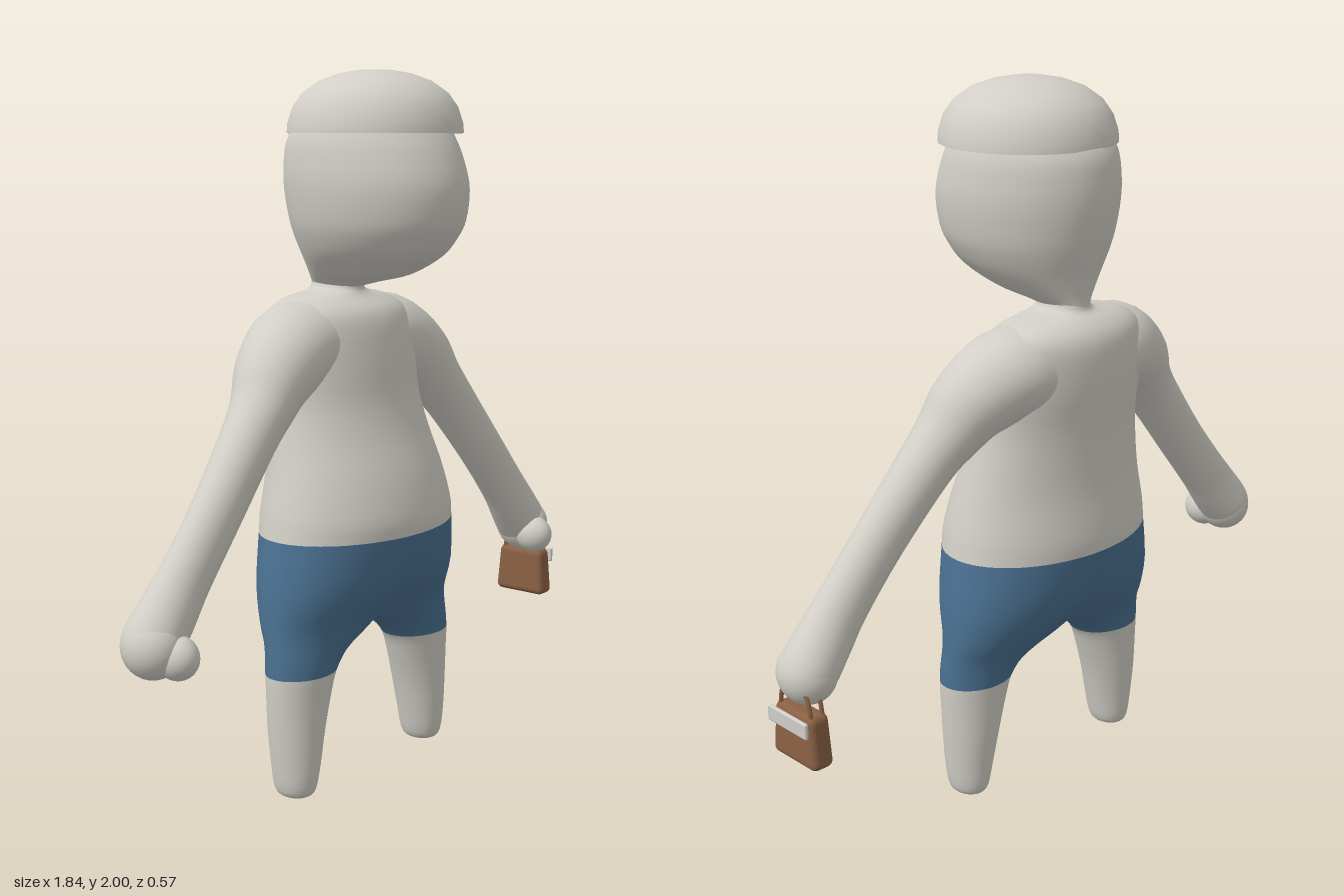
import * as THREE from 'three';
import { RoundedBoxGeometry } from 'three/addons/geometries/RoundedBoxGeometry.js';

const paint = (name, color) => {
  const m = new THREE.MeshStandardMaterial({ color });
  m.name = name;
  return m;
};

// Smooth rows between the key cross-sections (every key row is kept)
function refine(keys, steps) {
  const rows = [];
  const at = i => keys[Math.max(0, Math.min(keys.length - 1, i))];
  for (let i = 0; i < keys.length - 1; i++) {
    for (let s = 0; s < steps; s++) {
      const t = s / steps;
      rows.push(keys[i].map((b, k) => {
        const a = at(i - 1)[k], c = at(i + 1)[k], d = at(i + 2)[k];
        return b + 0.5 * t * (c - a + t * (2 * a - 5 * b + 4 * c - d + t * (3 * (b - c) + d - a)));
      }));
    }
  }
  rows.push(keys[keys.length - 1]);
  return rows;
}

// Skin closed rings of points; half = keep x >= 0 and leave the middle plane open.
// materialOf(row) gives a material index for each band.
function skin(rings, half = false, materialOf = null) {
  const n = rings[0].length, pos = [], index = [];
  const geo = new THREE.BufferGeometry();
  rings.forEach(r => r.forEach(p => pos.push(half ? Math.max(0, p[0]) : p[0], p[1], p[2])));
  const addTri = (...t) => {
    if (!half || t.some(v => pos[v * 3] > 1e-6)) index.push(...t);
  };
  for (let i = 0; i < rings.length - 1; i++) {
    const start = index.length;
    for (let j = 0; j < n; j++) {
      const a = i * n + j, b = i * n + (j + 1) % n;
      addTri(a, a + n, b);
      addTri(b, a + n, b + n);
    }
    if (materialOf) geo.addGroup(start, index.length - start, materialOf(i));
  }
  geo.setAttribute('position', new THREE.Float32BufferAttribute(pos, 3));
  geo.setIndex(index);
  geo.computeVertexNormals();
  if (half) {
    // Normals on the middle plane have no sideways part
    const nor = geo.attributes.normal;
    for (let i = 0; i < nor.count; i++) if (pos[i * 3] < 1e-6) nor.setX(i, 0);
    geo.normalizeNormals();
  }
  return geo;
}

function mirrored(geo) {
  const g = geo.clone().scale(-1, 1, 1), ix = g.index;
  for (let i = 0; i < ix.count; i += 3) {
    const b = ix.getX(i + 1);
    ix.setX(i + 1, ix.getX(i + 2));
    ix.setX(i + 2, b);
  }
  return g;
}

const angles = n => Array.from({ length: n }, (_, j) => (j / n) * Math.PI * 2);

// Level ring from [height, centre x, half width, front z, back z]
const levelRing = n => ([y, cx, rx, zf, zb]) => angles(n).map(a =>
  [cx + rx * Math.cos(a), y, (zf + zb) / 2 + (zf - zb) / 2 * Math.sin(a)]);

// Half of the body: one leg, hips, torso and neck
const BODY = [
  [0, 0.295, 0.001, -0.03, -0.04], [0.008, 0.295, 0.035, 0.005, -0.08],
  [0.03, 0.295, 0.053, 0.025, -0.1], [0.1, 0.292, 0.066, 0.035, -0.11],
  [0.2, 0.285, 0.082, 0.04, -0.12], [0.3, 0.273, 0.1, 0.045, -0.125],
  [0.36, 0.262, 0.113, 0.05, -0.13], [0.41, 0.235, 0.138, 0.055, -0.14],
  [0.45, 0.19, 0.18, 0.065, -0.16], [0.5, 0.14, 0.228, 0.085, -0.195],
  [0.6, 0.06, 0.3, 0.145, -0.25], [0.735, 0, 0.335, 0.18, -0.28],
  [0.8, 0, 0.325, 0.178, -0.28], [0.9, 0, 0.302, 0.15, -0.268],
  [1.0, 0, 0.28, 0.11, -0.265], [1.1, 0, 0.265, 0.08, -0.268],
  [1.2, 0, 0.265, 0.065, -0.28], [1.3, 0, 0.26, 0.045, -0.28],
  [1.35, 0, 0.24, 0.02, -0.265], [1.38, 0, 0.18, -0.02, -0.235],
  [1.395, 0, 0.1, -0.035, -0.21], [1.41, 0, 0.065, -0.04, -0.2],
  [1.45, 0, 0.06, -0.04, -0.195],
];
const HEM = 6, WAIST = 11;

const HEAD = [
  [1.41, 0, 0.055, -0.04, -0.2], [1.425, 0, 0.075, 0.02, -0.2], [1.45, 0, 0.112, 0.125, -0.202],
  [1.5, 0, 0.165, 0.215, -0.21], [1.55, 0, 0.197, 0.257, -0.225], [1.6, 0, 0.216, 0.28, -0.238],
  [1.68, 0, 0.229, 0.287, -0.25], [1.75, 0, 0.228, 0.27, -0.25], [1.82, 0, 0.216, 0.238, -0.235],
  [1.88, 0, 0.18, 0.19, -0.18], [1.92, 0, 0.08, 0.09, -0.08],
];

// Arm path: [x, y, z, radius in the front plane, radius in depth]
const ARM = [
  [0.08, 1.25, -0.115, 0.12, 0.13], [0.2, 1.25, -0.113, 0.125, 0.135],
  [0.31, 1.19, -0.09, 0.11, 0.115], [0.38, 1.115, -0.07, 0.088, 0.092],
  [0.45, 1.04, -0.055, 0.078, 0.076], [0.6, 0.865, -0.037, 0.075, 0.064],
  [0.72, 0.725, -0.032, 0.076, 0.064], [0.79, 0.64, -0.032, 0.08, 0.074],
  [0.84, 0.58, -0.034, 0.078, 0.08], [0.872, 0.54, -0.034, 0.055, 0.06],
  [0.885, 0.525, -0.034, 0.001, 0.001],
];

function armGeometry() {
  const rows = refine(ARM, 4);
  return skin(rows.map(([x, y, z, r, rz], i) => {
    const p = rows[Math.max(0, i - 1)], q = rows[Math.min(rows.length - 1, i + 1)];
    const len = Math.hypot(q[0] - p[0], q[1] - p[1]);
    const nx = -(q[1] - p[1]) / len, ny = (q[0] - p[0]) / len;
    return angles(32).map(a =>
      [x + nx * r * Math.cos(a), y + ny * r * Math.cos(a), z - rz * Math.sin(a)]);
  }));
}

const ball = (x, y, z, rx, ry, rz) =>
  new THREE.SphereGeometry(1, 32, 20).scale(rx, ry, rz).translate(x, y, z);

export function createModel() {
  const skinMat = paint('pale grey', 0xd0cec6);
  const blue = paint('shorts blue', 0x4a7090);
  const brown = paint('leather brown', 0x8a6044);

  const model = new THREE.Group();
  model.name = 'figure';
  const add = (name, geo, mat, parent = model) => {
    const mesh = new THREE.Mesh(geo, mat);
    mesh.name = name;
    parent.add(mesh);
    return mesh;
  };
  const addPair = (name, geo, mat) => {
    add('left' + name, geo, mat);
    add('right' + name, mirrored(geo), mat);
  };

  // Legs, shorts and torso in one skin, coloured by band
  const steps = 3;
  const body = skin(refine(BODY, steps).map(levelRing(64)), true,
    i => (i >= HEM * steps && i < WAIST * steps ? 1 : 0));
  addPair('BodyAndShorts', body, [skinMat, blue]);

  // Arms with rounded hands and a thumb knob facing forward
  addPair('Arm', armGeometry(), skinMat);
  addPair('Hand', ball(0.84, 0.575, -0.03, 0.077, 0.084, 0.085), skinMat);
  addPair('Thumb', ball(0.815, 0.552, 0.03, 0.052, 0.058, 0.062), skinMat);

  add('head', skin(refine(HEAD, 4).map(levelRing(48))), skinMat);

  // Domed cap with a flat underside
  const dome = [[0.242, 1.83], [0.24, 1.857], [0.226, 1.9], [0.2, 1.937], [0.155, 1.969],
    [0.1, 1.989], [0.05, 1.998], [0, 2]].map(p => new THREE.Vector2(...p));
  add('cap', new THREE.LatheGeometry(dome, 48), skinMat).position.z = 0.015;
  const under = add('capUnderside', new THREE.CircleGeometry(0.242, 48), skinMat);
  under.rotation.x = Math.PI / 2;
  under.position.set(0, 1.83, 0.015);

  // Small handbag hanging below the left hand
  const bag = new THREE.Group();
  bag.name = 'handbag';
  bag.position.set(0.869, 0.415, -0.038);
  model.add(bag);
  const bagGeo = new RoundedBoxGeometry(0.07, 0.15, 0.18, 4, 0.02);
  const p = bagGeo.attributes.position;
  for (let i = 0; i < p.count; i++) {
    const k = 1 - 0.9 * (p.getY(i) + 0.075); // narrower towards the top
    p.setX(i, p.getX(i) * k);
    p.setZ(i, p.getZ(i) * k);
  }
  bagGeo.computeVertexNormals();
  add('bagBody', bagGeo, brown, bag);
  add('bagPlate', new RoundedBoxGeometry(0.012, 0.045, 0.16, 3, 0.005), skinMat, bag)
    .position.set(0.044, 0.048, 0);
  for (const x of [-0.018, 0.018]) {
    const path = new THREE.CatmullRomCurve3([[-0.065, 0.06], [-0.05, 0.12], [0, 0.17], [0.05, 0.12],
      [0.065, 0.06]].map(([z, y]) => new THREE.Vector3(x, y, z)));
    add('bagHandle', new THREE.TubeGeometry(path, 24, 0.006, 8), brown, bag);
  }
  return model;
}
